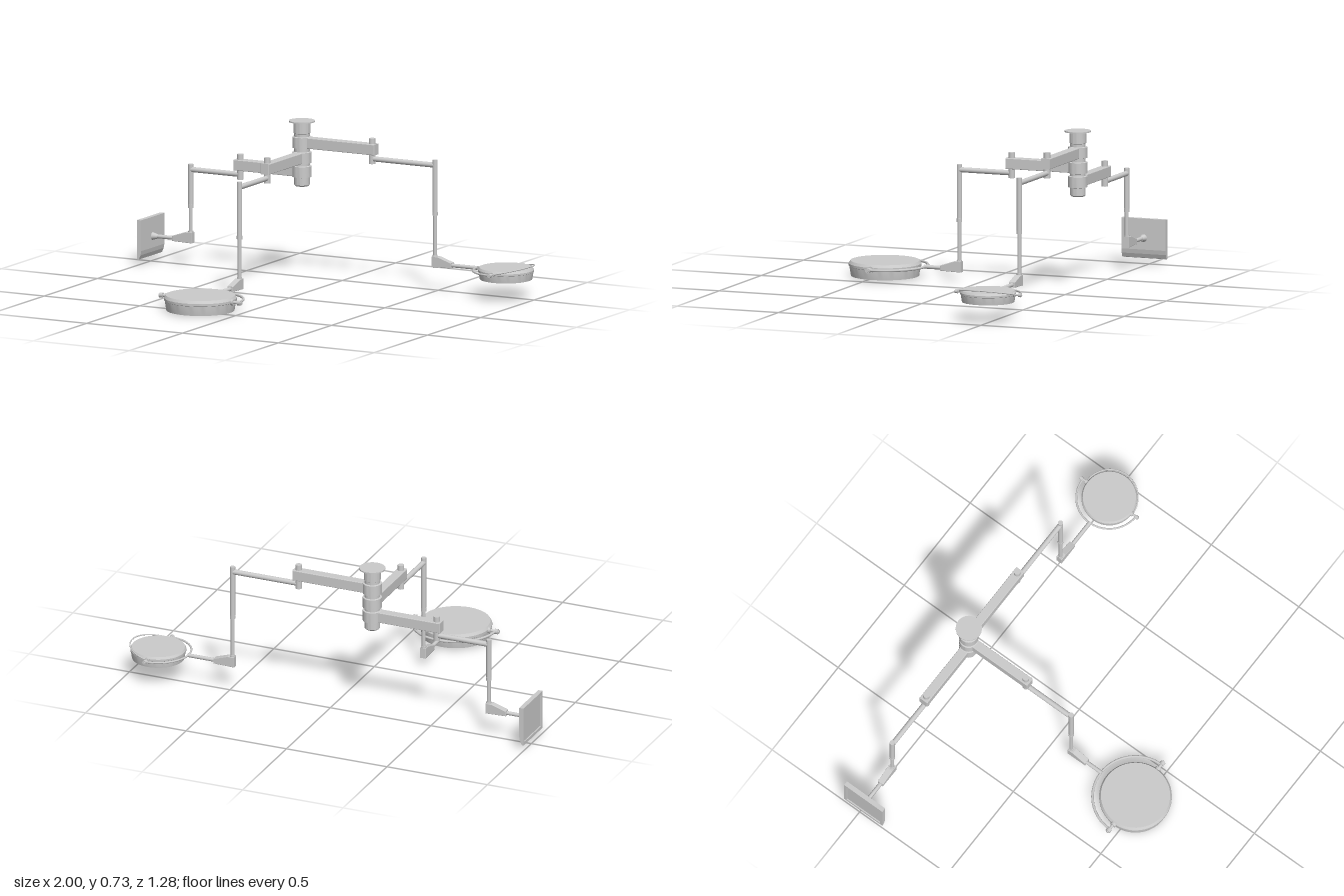
import * as THREE from 'three';
import { toCreasedNormals } from 'three/addons/utils/BufferGeometryUtils.js';

const grey = new THREE.MeshStandardMaterial({ color: 0xcccccc });

function add(parent, name, geometry, x = 0, y = 0, z = 0) {
  const mesh = new THREE.Mesh(geometry, grey);
  mesh.name = name;
  mesh.position.set(x, y, z);
  parent.add(mesh);
  return mesh;
}

// Solid of revolution with sharp edges; points are [radius, y] from bottom to top
function turned(points, sides = 40) {
  const lathe = new THREE.LatheGeometry(points.map(([r, y]) => new THREE.Vector2(r, y)), sides);
  return toCreasedNormals(lathe, 0.5);
}

// Upright cylinder between two heights
function post(parent, name, r, y0, y1, z, sides = 20) {
  return add(parent, name, new THREE.CylinderGeometry(r, r, y1 - y0, sides), 0, (y0 + y1) / 2, z);
}

// Cylinder lying along z
function rod(parent, name, r, z0, z1, y, rEnd = r) {
  const g = new THREE.CylinderGeometry(rEnd, r, z1 - z0, 20).rotateX(Math.PI / 2);
  return add(parent, name, g, 0, y, (z0 + z1) / 2);
}

// Side profile of [z, y] points, extruded symmetrically across x
function slab(parent, name, points, width, bevel = 0) {
  const shape = new THREE.Shape(points.map(([z, y]) => new THREE.Vector2(z, y)));
  const g = new THREE.ExtrudeGeometry(shape, {
    depth: width - 2 * bevel, bevelEnabled: bevel > 0, bevelSize: bevel, bevelThickness: bevel, bevelOffset: -bevel, bevelSegments: 2,
  });
  g.translate(0, 0, bevel - width / 2).rotateY(-Math.PI / 2);
  return add(parent, name, g);
}

// Half ring in the xz plane; side = -1 bows toward -z, +1 toward +z
function halfRing(r, tube, side) {
  return new THREE.TorusGeometry(r, tube, 8, 40, Math.PI).rotateX(side * Math.PI / 2);
}

// Round lamp hung on a half-ring yoke, its pivot axis along x
function lampHead(withHandle) {
  const lamp = new THREE.Group();
  lamp.name = 'lampHead';
  add(lamp, 'housing', turned([
    [0, -0.044], [0.146, -0.044], [0.148, -0.05], [0.156, -0.05], [0.163, -0.006],
    [0.166, -0.004], [0.166, 0.007], [0.163, 0.012], [0.158, 0.02], [0, 0.021],
  ], 56));
  // Lens cluster underneath: one in the middle, six around it
  for (let i = 0; i < 7; i++) {
    const a = i * Math.PI / 3, d = i === 6 ? 0 : 0.096;
    const lens = turned([[0, -0.054], [0.02, -0.053], [0.036, -0.049], [0.036, -0.053], [0.042, -0.053], [0.042, -0.043]], 28);
    add(lamp, 'lens', lens, d * Math.cos(a), 0, d * Math.sin(a));
  }
  add(lamp, 'yoke', halfRing(0.196, 0.006, -1));
  for (const s of [-1, 1]) {
    add(lamp, 'pivotPin', new THREE.CylinderGeometry(0.007, 0.007, 0.06, 16).rotateZ(Math.PI / 2), s * 0.186);
    add(lamp, 'pivotKnob', new THREE.CylinderGeometry(0.012, 0.012, 0.016, 20).rotateZ(Math.PI / 2), s * 0.203);
    add(lamp, 'pivotBoss', new THREE.CylinderGeometry(0.014, 0.014, 0.014, 20).rotateZ(Math.PI / 2), s * 0.167);
  }
  if (withHandle) {
    const handle = add(lamp, 'handle', halfRing(0.171, 0.004, 1));
    handle.rotation.x = -0.22;
  }
  return lamp;
}

// Flat panel with a raised frame around its outer face
function screenHead() {
  const head = new THREE.Group();
  head.name = 'screen';
  slab(head, 'panel', [[0.778, 0.218], [0.778, 0.075], [0.782, 0.055], [0.79, 0.036], [0.794, 0.034], [0.794, 0.218]], 0.218);
  for (const s of [-1, 1]) {
    add(head, 'frameSide', new THREE.BoxGeometry(0.014, 0.184, 0.007), s * 0.102, 0.126, 0.7965);
    add(head, 'frameRail', new THREE.BoxGeometry(0.218, 0.014, 0.007), 0, 0.126 + s * 0.085, 0.7965);
  }
  rod(head, 'mountFlare', 0.01, 0.752, 0.779, 0.128, 0.018);
  return head;
}

// Jointed arm reaching along +z from the column
function supportArm(name, { y, end, knee, split, foot, tip }) {
  const arm = new THREE.Group();
  arm.name = name;
  const pin = end - 0.024, rodY = y - 0.045, tipY = foot + 0.015;
  slab(arm, 'mainBeam', [[0, y - 0.025], [end, y - 0.025], [end, y + 0.025], [0, y + 0.025]], 0.044, 0.003);
  post(arm, 'elbowPin', 0.015, y - 0.068, y + 0.05, pin);
  rod(arm, 'foreArm', 0.012, pin, knee, rodY);
  post(arm, 'kneeTube', 0.012, split, y - 0.02, knee);
  post(arm, 'tubeCollar', 0.013, split - 0.008, split + 0.008, knee);
  post(arm, 'dropRod', 0.009, foot + 0.02, split, knee);
  post(arm, 'footSocket', 0.012, foot + 0.02, foot + 0.056, knee);
  slab(arm, 'footBracket', [
    [knee - 0.012, foot], [knee + 0.09, foot + 0.003], [knee + 0.09, foot + 0.027],
    [knee + 0.02, foot + 0.05], [knee - 0.012, foot + 0.05],
  ], 0.03, 0.002);
  rod(arm, 'tipRod', 0.009, knee + 0.085, tip, tipY);
  return arm;
}

export function createModel() {
  const model = new THREE.Group();
  model.name = 'ceilingLampSystem';
  const hub = new THREE.Group();
  hub.name = 'hub';
  hub.position.set(-0.2, 0, -0.48);
  model.add(hub);

  // Ceiling column with a swivel collar for each arm
  add(hub, 'ceilingFlange', turned([[0, 0.729], [0.06, 0.729], [0.06, 0.735], [0, 0.735]]));
  const column = [[0, 0.432], [0.03, 0.432], [0.036, 0.438], [0.036, 0.475]];
  for (const y of [0.5, 0.565, 0.635]) {
    column.push([0.036, y - 0.027], [0.044, y - 0.025], [0.044, y + 0.025], [0.036, y + 0.027]);
  }
  column.push([0.036, 0.676], [0.039, 0.678], [0.039, 0.73], [0, 0.73]);
  add(hub, 'column', turned(column));

  // Front arm with the large lamp
  const front = supportArm('frontArm', { y: 0.565, end: 0.35, knee: 0.585, split: 0.287, foot: 0.047, tip: 0.76 });
  const bigLamp = lampHead(false);
  bigLamp.position.set(0, 0.061, 0.952);
  front.add(bigLamp);

  // Left arm with the small lamp
  const left = supportArm('leftArm', { y: 0.635, end: 0.39, knee: 0.695, split: 0.365, foot: 0.118, tip: 0.918 });
  const smallLamp = lampHead(true);
  smallLamp.scale.setScalar(0.77);
  smallLamp.position.set(0, 0.135, 1.065);
  left.add(smallLamp);
  left.rotation.y = Math.PI / 2;

  // Right arm with the screen
  const right = supportArm('rightArm', { y: 0.5, end: 0.345, knee: 0.58, split: 0.285, foot: 0.114, tip: 0.775 });
  right.add(screenHead());
  right.rotation.y = -Math.PI / 2;

  hub.add(front, left, right);
  return model;
}
